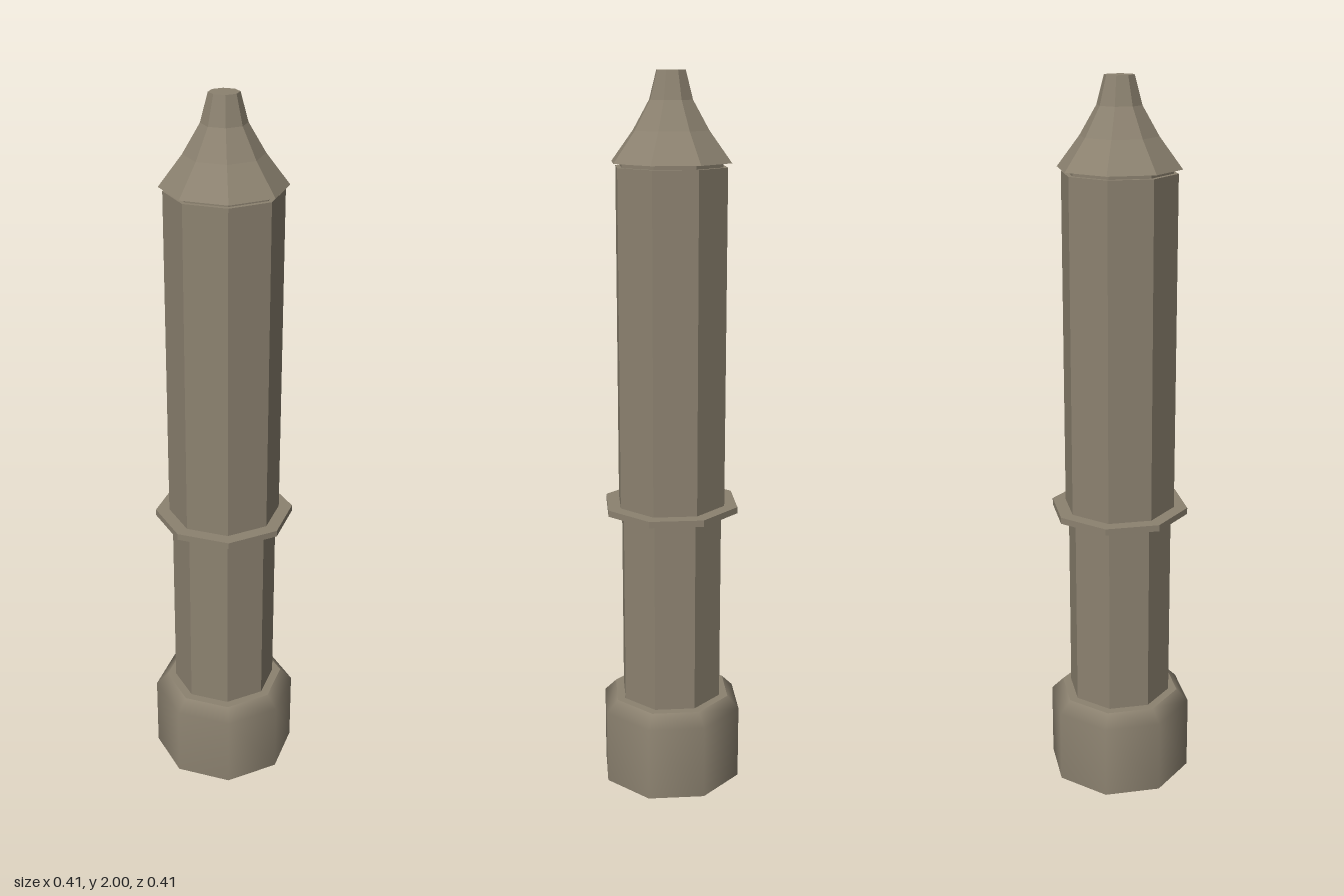
import * as THREE from 'three';

const SIDES = 8;

export function createModel() {
  const group = new THREE.Group();
  const metal = new THREE.MeshStandardMaterial({ color: 0x8c8270, side: THREE.DoubleSide });
  metal.name = 'dull bronze';

  // Eight-sided turned part from a [radius, height] profile, listed from the bottom up
  function turned(name, profile, smooth = false) {
    let geometry = new THREE.LatheGeometry(profile.map(([r, y]) => new THREE.Vector2(r, y)), SIDES);
    if (!smooth) {
      geometry = geometry.toNonIndexed();
      geometry.computeVertexNormals();
    }
    const mesh = new THREE.Mesh(geometry, metal);
    mesh.name = name;
    group.add(mesh);
  }

  // Hollow socket, open underneath, with a softly shaded wall and a flat top
  turned('baseSocket', [[0.206, 0], [0.206, 0.215], [0.172, 0.25]], true);
  turned('baseTop', [[0.172, 0.25], [0, 0.25]]);

  // Shaft in two widths, parted by a thin collar
  turned('lowerShaft', [[0.147, 0.25], [0.147, 0.815]]);
  turned('collar', [[0, 0.812], [0.194, 0.812], [0.194, 0.83], [0, 0.83]]);
  turned('upperShaft', [[0.156, 0.83], [0.156, 1.755], [0, 1.755]]);

  // Narrow neck below the flared tip
  turned('neck', [[0.143, 1.755], [0.143, 1.768]]);
  turned('tip', [[0, 1.766], [0.167, 1.766], [0.105, 1.848], [0.06, 1.925], [0.04, 2], [0, 2]]);

  return group;
}
